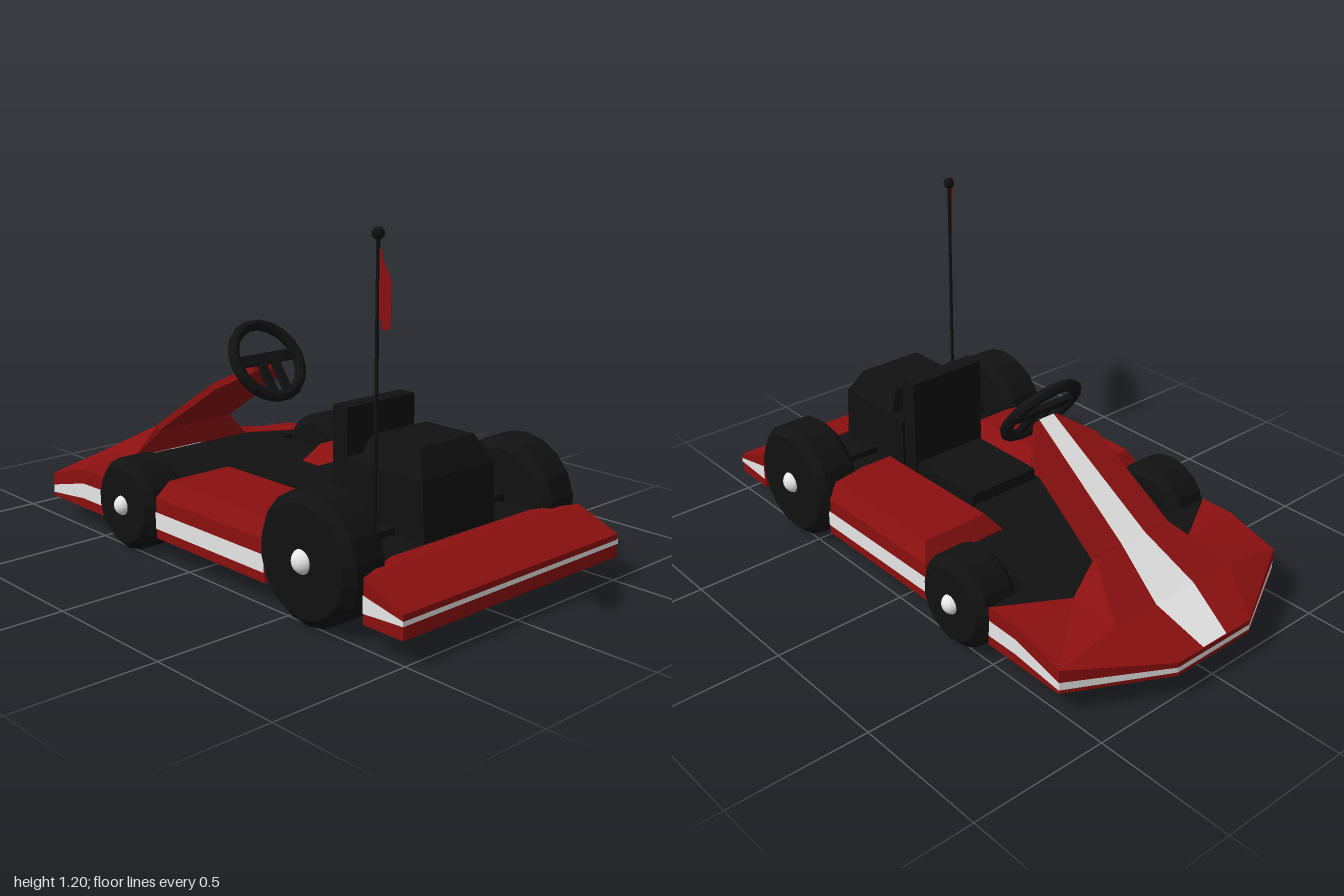
import * as THREE from 'three';
import { ConvexGeometry } from 'three/addons/geometries/ConvexGeometry.js';

const paint = (name, color) => new THREE.MeshStandardMaterial({ name, color, flatShading: true, side: THREE.DoubleSide });

export function createModel() {
  const red = paint('red', 0x8c1010), black = paint('black', 0x111111), white = paint('white', 0xebebeb);
  const kart = new THREE.Group();
  kart.name = 'kart';

  const add = (name, geo, mat, x = 0, y = 0, z = 0, parent = kart) => {
    const m = new THREE.Mesh(geo, mat);
    m.name = name;
    m.position.set(x, y, z);
    parent.add(m);
    return m;
  };
  const box = (name, mat, x0, x1, y0, y1, z0, z1) =>
    add(name, new THREE.BoxGeometry(x1 - x0, y1 - y0, z1 - z0), mat, (x0 + x1) / 2, (y0 + y1) / 2, (z0 + z1) / 2);
  const hull = (name, pts, mat) => add(name, new ConvexGeometry(pts.map(p => new THREE.Vector3(...p))), mat);
  const mirror = pts => [...pts, ...pts.map(([x, y, z]) => [x, y, -z])];
  // convex polygons as flat faces
  const faces = (name, polys, mat) => {
    const pos = [];
    for (const p of polys)
      for (let i = 1; i < p.length - 1; i++) pos.push(...p[0], ...p[i], ...p[i + 1]);
    const geo = new THREE.BufferGeometry();
    geo.setAttribute('position', new THREE.Float32BufferAttribute(pos, 3));
    geo.computeVertexNormals();
    return add(name, geo, mat);
  };
  // upright strip along stations [x, z, yLow, yHigh]
  const band = (name, st, mat) => faces(name, st.slice(1).map((b, i) => {
    const a = st[i];
    return [[a[0], a[2], a[1]], [b[0], b[2], b[1]], [b[0], b[3], b[1]], [a[0], a[3], a[1]]];
  }), mat);
  const slab = (name, outline, y0, y1, mat) => {
    const pts = [...outline, ...outline.map(([x, z]) => [x, -z]).reverse()];
    const geo = new THREE.ExtrudeGeometry(new THREE.Shape(pts.map(([x, z]) => new THREE.Vector2(x, -z))),
      { depth: y1 - y0, bevelEnabled: false });
    geo.rotateX(-Math.PI / 2);
    return add(name, geo, mat, 0, y0, 0);
  };

  // floor, narrowed beside the wheels
  const middle = [[-0.49, 0.5], [-0.48, 0.34], [-0.165, 0.34], [-0.165, 0.5], [0.39, 0.5], [0.44, 0.34], [0.8, 0.34]];
  slab('floor', [[-0.63, 0.27], ...middle], 0.09, 0.222, black);
  slab('underside', [[-1, 0.17], [-0.82, 0.51], ...middle], 0.08, 0.09, red);

  // nose: rim [x, z, bottom, stripe low, stripe high, top]
  const half = [[-0.49, 0.51, 0.08, 0.115, 0.175, 0.225], [-0.62, 0.51, 0.08, 0.115, 0.172, 0.225],
    [-0.82, 0.51, 0.08, 0.093, 0.122, 0.168], [-1, 0.17, 0.08, 0.093, 0.112, 0.13]];
  const rim = [...half, ...half.map(([x, z, ...r]) => [x, -z, ...r]).reverse()];
  const level = (a, b) => rim.map(s => [s[0], s[1], s[a], s[b]]);
  band('noseLowerEdge', level(2, 3), red);
  band('noseStripe', level(3, 4), white);
  band('noseUpperEdge', level(4, 5), red);

  const noseTop = [[[-1, 0.13, 0.17], [-1, 0.13, -0.17], [-0.82, 0.215, -0.27], [-0.82, 0.215, 0.27]]];
  for (const s of [1, -1]) {
    const N = [-1, 0.13, 0.17 * s], C = [-0.82, 0.168, 0.51 * s], D = [-0.62, 0.225, 0.51 * s];
    const E = [-0.49, 0.225, 0.51 * s], F = [-0.63, 0.225, 0.27 * s], G = [-0.82, 0.215, 0.27 * s];
    noseTop.push([N, C, G], [C, D, F, G], [D, E, F], [E, [-0.49, 0.08, 0.51 * s], [-0.63, 0.08, 0.27 * s], F]);
  }
  faces('noseTop', noseTop, red);
  hull('cowl', mirror([[-0.82, 0.215, 0.27], [-0.63, 0.225, 0.27], [-0.62, 0.333, 0.17], [-0.61, 0.31, 0.165]]), red);

  // sloping fairing that carries the steering wheel
  const fairing = mirror([[-0.625, 0.333, 0.17], [-0.3, 0.549, 0.15], [-0.2, 0.615, 0.05]]);
  hull('fairing', [...fairing, ...fairing.map(([x, y, z]) => [x + 0.012, y - 0.022, z])], red);

  // centre stripe [x, y, half width]
  const line = [[-1, 0.133, 0.055], [-0.823, 0.219, 0.09], [-0.627, 0.338, 0.055], [-0.2, 0.62, 0.033]];
  faces('centreStripe', line.slice(1).map((b, i) => {
    const a = line[i];
    return [[a[0], a[1], a[2]], [b[0], b[1], b[2]], [b[0], b[1], -b[2]], [a[0], a[1], -a[2]]];
  }), white);

  // steering wheel
  const steering = new THREE.Group();
  steering.name = 'steeringWheel';
  steering.position.set(-0.172, 0.632, 0);
  steering.rotation.set(0, Math.PI / 2, 0.616, 'ZYX');
  kart.add(steering);
  add('steeringRim', new THREE.TorusGeometry(0.143, 0.021, 8, 18), black, 0, 0, 0, steering);
  add('crossSpoke', new THREE.BoxGeometry(0.27, 0.038, 0.02), black, 0, 0.008, 0, steering);
  for (const s of [1, -1])
    add('lowerSpoke', new THREE.BoxGeometry(0.03, 0.13, 0.02), black, 0.032 * s, -0.07, 0, steering);

  // side pods with sloping shoulders and a stripe
  for (const s of [1, -1]) {
    const ring = (y, x0, x1, x2, z0, z1) =>
      [[x0, y, z0 * s], [x0, y, z1 * s], [x2, y, z1 * s], [x1, y, 0.35 * s], [x1, y, z0 * s]];
    hull('sidePod', [...ring(0.08, -0.168, 0.44, 0.4, 0.17, 0.51), ...ring(0.225, -0.168, 0.44, 0.4, 0.17, 0.51),
      ...ring(0.288, -0.13, 0.415, 0.39, 0.22, 0.48)], red);
    band('sideStripe', [[-0.168, 0.513 * s, 0.115, 0.175], [0.4, 0.513 * s, 0.115, 0.175]], white);
  }

  // seat
  box('seatCushion', black, 0.02, 0.35, 0.22, 0.265, -0.15, 0.15);
  box('seatBack', black, 0.338, 0.405, 0.22, 0.59, -0.158, 0.158);

  // engine
  hull('engine', mirror([[0.4, 0.22, 0.168], [0.76, 0.22, 0.168], [0.46, 0.425, 0.168], [0.4, 0.425, 0.168], [0.748, 0.425, 0.168]]), black);
  hull('engineTop', mirror([[0.465, 0.42, 0.166], [0.748, 0.42, 0.166], [0.485, 0.51, 0.13], [0.695, 0.51, 0.13]]), black);

  // rear bumper
  const plan = [[0.775, 0.33, 0.228], [0.84, 0.51, 0.225], [1, 0.51, 0.16]];
  hull('rearBumper', mirror(plan.flatMap(([x, z, y]) => [[x, 0.08, z], [x, y, z]])), red);
  band('rearStripe', [[0.84, 0.513, 0.115, 0.172], [1.002, 0.513, 0.125, 0.141],
    [1.002, -0.513, 0.125, 0.141], [0.84, -0.513, 0.115, 0.172]], white);

  // wheels, hubs and axles
  for (const [end, x, r, hub] of [['front', -0.33, 0.165, 0.036], ['rear', 0.603, 0.215, 0.043]]) {
    box(end + 'Axle', black, x - 0.032, x + 0.032, r - 0.03, r + 0.03, -0.4, 0.4);
    const profile = [[0, -0.086], [r - 0.032, -0.086], [r, -0.056], [r, 0.056], [r - 0.032, 0.086], [0, 0.086]];
    for (const s of [1, -1]) {
      const tyre = add(end + 'Tyre', new THREE.LatheGeometry(profile.map(p => new THREE.Vector2(...p)), 18), black, x, r, 0.454 * s);
      tyre.rotation.x = Math.PI / 2;
      add(end + 'Hub', new THREE.SphereGeometry(hub, 32, 24), white, x, r, (0.566 - hub) * s);
    }
  }

  // flag on its pole
  add('flagPole', new THREE.CylinderGeometry(0.006, 0.006, 1.1, 8), black, 0.645, 0.63, 0.27);
  add('poleBall', new THREE.SphereGeometry(0.02, 16, 12), black, 0.645, 1.184, 0.27);
  // stations [distance, low, high]
  const cloth = [[0, 0.93, 1.14], [0.11, 0.93, 1.14], [0.2, 0.93, 1.14], [0.3, 0.945, 1.125],
    [0.39, 0.965, 1.105], [0.455, 1.01, 1.065], [0.475, 1.03, 1.045]];
  band('flag', cloth.map(([d, lo, hi]) => {
    const w = 0.006 * Math.sin(d * 20);
    return [0.63 + 0.75 * d + 0.66 * w, 0.253 + 0.655 * d - 0.75 * w, lo, hi];
  }), red);

  return kart;
}
